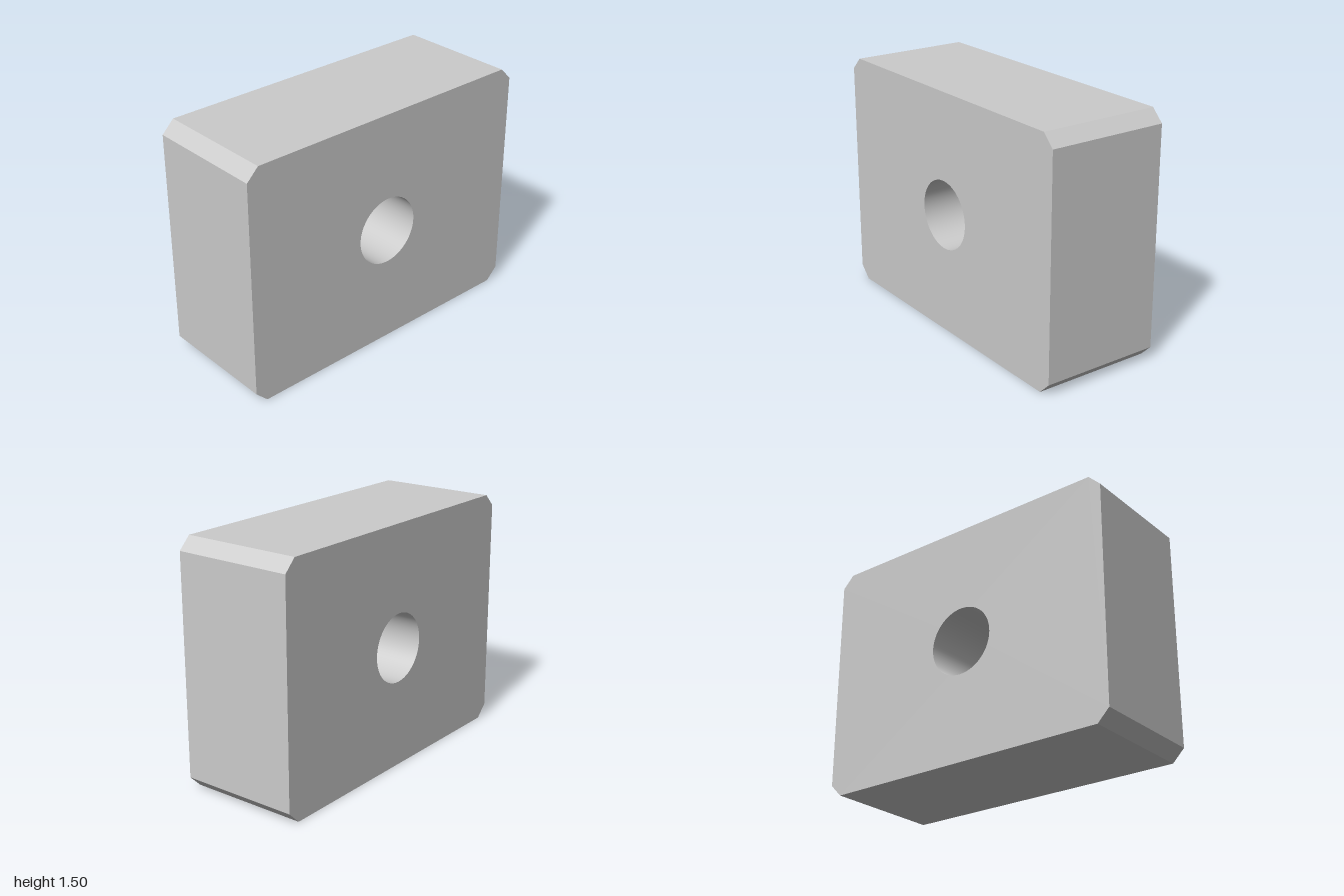
import * as THREE from 'three';
import { toCreasedNormals } from 'three/addons/utils/BufferGeometryUtils.js';

const WIDTH = 2, HEIGHT = 1.5, DEPTH = 0.75;
const CHAMFER = 0.075, BORE_RADIUS = 0.2125;

export function createModel() {
  const group = new THREE.Group();
  group.name = 'chamferedBlock';

  // Rectangular outline with its four corners cut at 45 degrees
  const w = WIDTH / 2, h = HEIGHT / 2, c = CHAMFER;
  const outline = new THREE.Shape([
    [w - c, -h], [w, -h + c], [w, h - c], [w - c, h],
    [-w + c, h], [-w, h - c], [-w, -h + c], [-w + c, -h],
  ].map(([x, y]) => new THREE.Vector2(x, y)));

  // Round bore straight through from front to back
  outline.holes.push(new THREE.Path().absarc(0, 0, BORE_RADIUS, 0, Math.PI * 2, true));

  const geometry = new THREE.ExtrudeGeometry(outline, {
    depth: DEPTH, bevelEnabled: false, curveSegments: 32,
  });
  geometry.translate(0, h, -DEPTH / 2);

  // Smooth bore wall, sharp block edges
  const block = new THREE.Mesh(
    toCreasedNormals(geometry, 0.5),
    new THREE.MeshStandardMaterial({ color: 0xcccccc }),
  );
  block.name = 'blockWithBore';
  group.add(block);
  return group;
}
